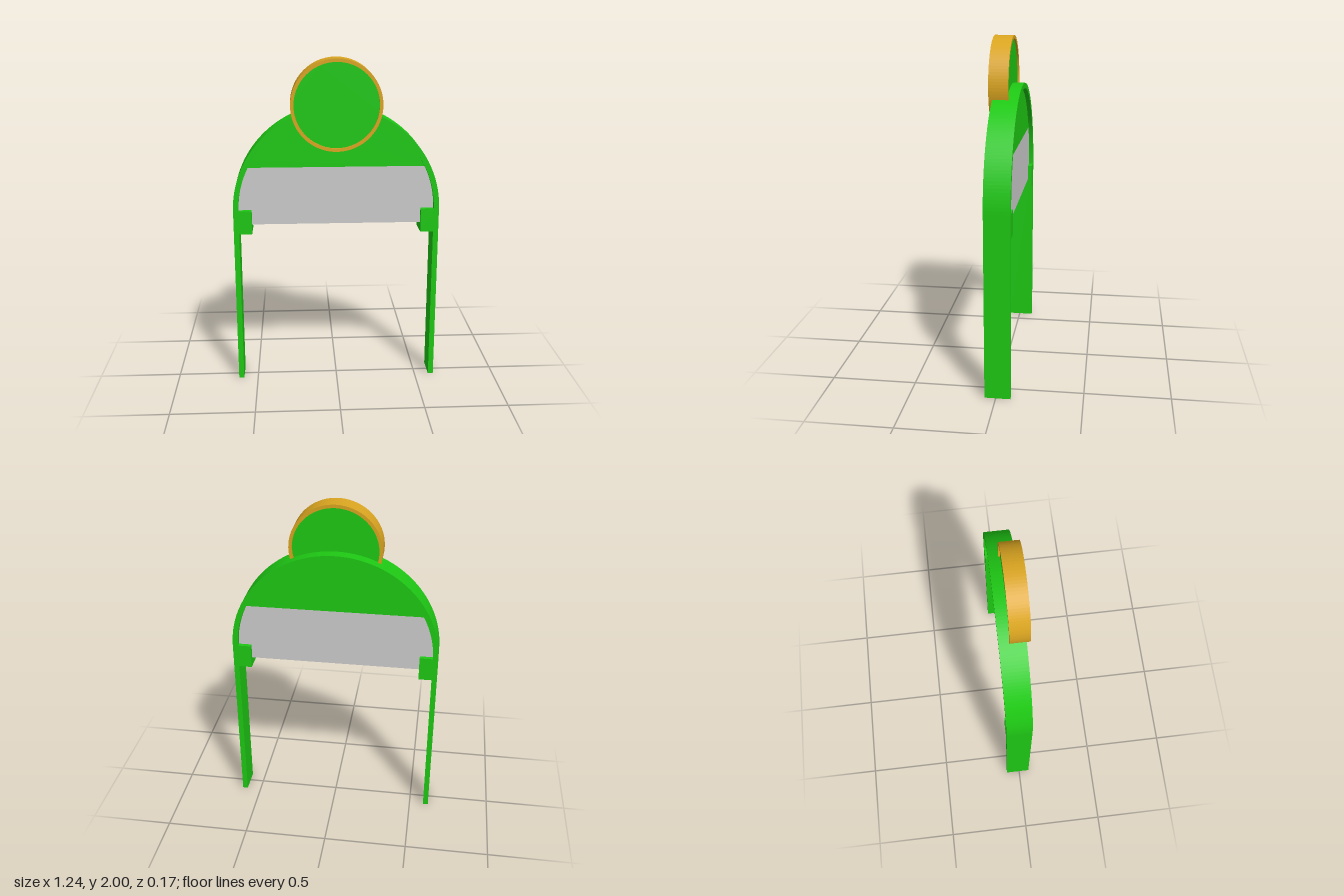
import * as THREE from 'three';

const R = 0.62, RI = 0.588, SPRING = 1.1;
const BACK = -0.085, FRONT = 0.065, RECESS = 0.025;

export function createModel() {
  const model = new THREE.Group();
  const green = new THREE.MeshStandardMaterial({ color: 0x1ec814 });
  const gold = new THREE.MeshStandardMaterial({ color: 0xdaa520 });
  const grey = new THREE.MeshStandardMaterial({ color: 0xcccccc });

  const add = (name, geometry, material) => {
    const mesh = new THREE.Mesh(geometry, material);
    mesh.name = name;
    model.add(mesh);
    return mesh;
  };
  // Extrude a front-facing shape between two depths
  const slab = (name, shape, z0, z1, material) => {
    const g = new THREE.ExtrudeGeometry(shape, { depth: z1 - z0, bevelEnabled: false, curveSegments: 48 });
    return add(name, g.translate(0, 0, z0), material);
  };

  // Arched frame with two straight legs
  const arch = new THREE.Shape();
  arch.moveTo(R, 0);
  arch.lineTo(R, SPRING);
  arch.absarc(0, SPRING, R, 0, Math.PI, false);
  arch.lineTo(-R, 0);
  arch.lineTo(-RI, 0);
  arch.lineTo(-RI, SPRING);
  arch.absarc(0, SPRING, RI, Math.PI, 0, true);
  arch.lineTo(RI, 0);
  slab('archFrame', arch, BACK, FRONT, green);

  // Panel filling the arch: green crown above, grey band below
  const split = 1.36, panelBottom = 1.01;
  const a = Math.asin((split - SPRING) / RI);
  const crown = new THREE.Shape();
  crown.absarc(0, SPRING, RI, a, Math.PI - a, false);
  slab('upperPanel', crown, BACK + RECESS, FRONT - RECESS, green);

  const band = new THREE.Shape();
  band.moveTo(-RI, panelBottom);
  band.lineTo(RI, panelBottom);
  band.absarc(0, SPRING, RI, 0, a, false);
  band.absarc(0, SPRING, RI, Math.PI - a, Math.PI, false);
  slab('lowerPanel', band, BACK + RECESS, FRONT - RECESS, grey);

  // Brackets holding the panel ends
  for (const side of [1, -1]) {
    const bracket = add(side > 0 ? 'leftBracket' : 'rightBracket',
      new THREE.BoxGeometry(0.09, 0.145, FRONT - BACK), green);
    bracket.position.set(side * 0.555, 1.0275, (FRONT + BACK) / 2);
  }

  // Round medallion: gold rim around a slightly recessed disc
  const cy = 1.73, r = 0.27, ri = 0.25, z0 = -0.028, z1 = 0.085;
  const rim = new THREE.Shape();
  rim.absarc(0, cy, r, 0, Math.PI * 2, false);
  const hole = new THREE.Path();
  hole.absarc(0, cy, ri, 0, Math.PI * 2, true);
  rim.holes.push(hole);
  slab('medallionRim', rim, z0, z1, gold);

  const disc = new THREE.Shape();
  disc.absarc(0, cy, ri, 0, Math.PI * 2, false);
  slab('medallionDisc', disc, z0 + 0.01, z1 - 0.01, green);

  return model;
}
